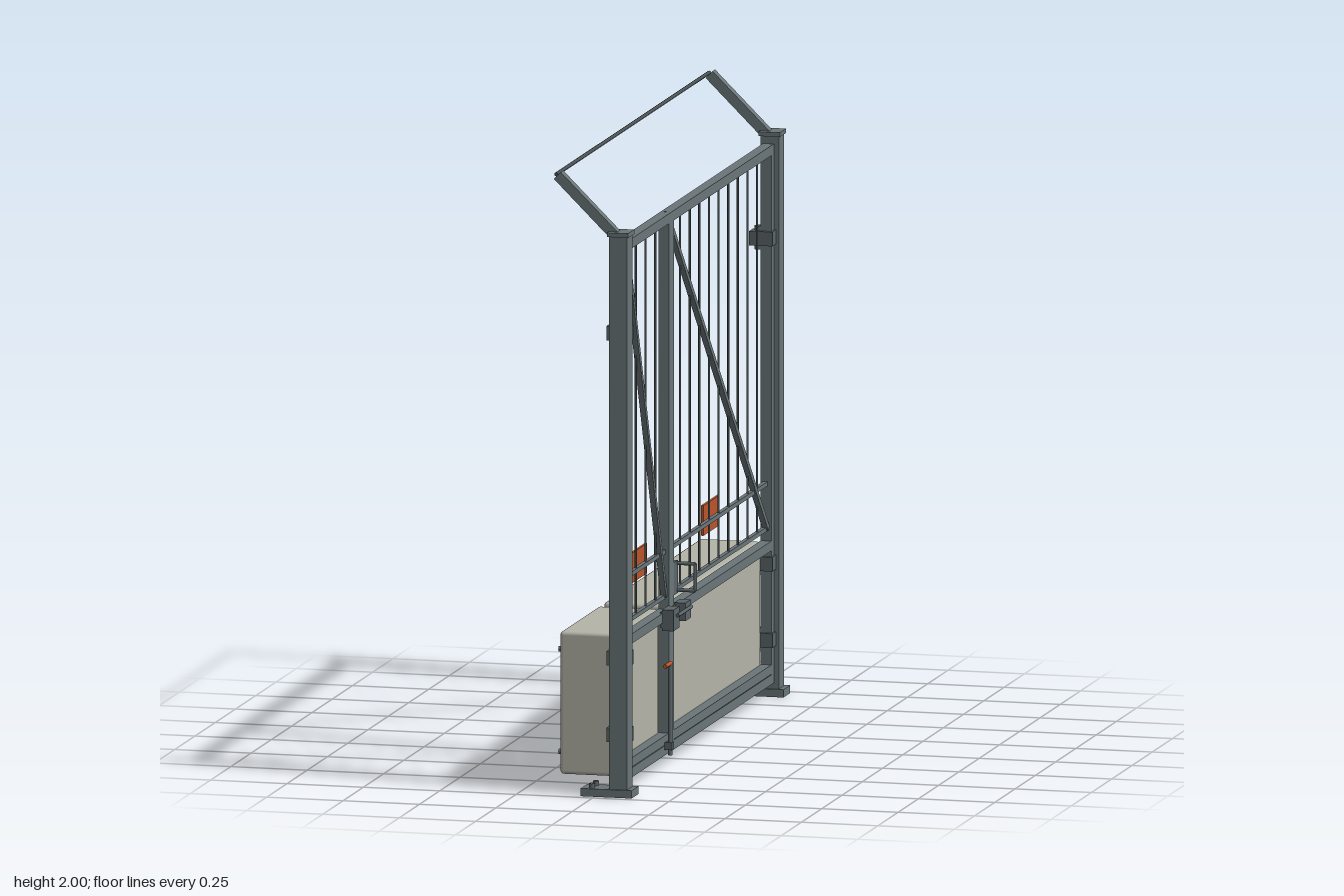
import * as THREE from 'three';
import { RoundedBoxGeometry } from 'three/addons/geometries/RoundedBoxGeometry.js';

const mat = (name, color) => {
  const m = new THREE.MeshStandardMaterial({ color });
  m.name = name;
  return m;
};

export function createModel() {
  const steel = mat('painted steel', 0x6b7679);
  const dark = mat('dark hardware', 0x5c666a);
  const wireMat = mat('wire', 0x4a5254);
  const beige = mat('cabinet beige', 0xb5b4a8);
  const orange = mat('warning orange', 0xb9562c);
  const model = new THREE.Group();
  model.name = 'doubleGate';

  const add = (parent, name, geo, m) => {
    const mesh = new THREE.Mesh(geo, m);
    mesh.name = name;
    parent.add(mesh);
    return mesh;
  };
  // box given by its min and max on each axis
  const box = (p, name, m, x0, x1, y0, y1, z0, z1) => {
    const b = add(p, name, new THREE.BoxGeometry(x1 - x0, y1 - y0, z1 - z0), m);
    b.position.set((x0 + x1) / 2, (y0 + y1) / 2, (z0 + z1) / 2);
    return b;
  };
  // round or square bar between two points
  const bar = (p, name, m, a, b, r, square = false) => {
    const A = new THREE.Vector3(...a), B = new THREE.Vector3(...b);
    const d = B.clone().sub(A), len = d.length();
    const geo = square ? new THREE.BoxGeometry(2 * r, len, 2 * r) : new THREE.CylinderGeometry(r, r, len, 10);
    const s = add(p, name, geo, m);
    s.position.copy(A).add(B).multiplyScalar(0.5);
    s.quaternion.setFromUnitVectors(new THREE.Vector3(0, 1, 0), d.normalize());
    return s;
  };

  // posts with foot plate, cap and slanted arm
  for (const s of [1, -1]) {
    const post = new THREE.Group();
    post.name = s > 0 ? 'frontPost' : 'rearPost';
    model.add(post);
    const c = s * 0.936;
    box(post, 'footPlate', steel, -0.045, 0.122, 0, 0.025, c - 0.042, c + 0.042);
    box(post, 'column', steel, 0.045, 0.105, 0.025, 1.8, c - 0.033, c + 0.033);
    box(post, 'cap', steel, 0.04, 0.11, 1.8, 1.814, c - 0.038, c + 0.038);
    bar(post, 'slantedArm', steel, [0.06, 1.8, c], [-0.128, 1.986, c], 0.016, true);
    for (const dz of [-0.024, 0.024]) {
      bar(post, 'anchorBolt', dark, [-0.012, 0.02, c + dz], [-0.012, 0.04, c + dz], 0.01);
    }
    // hinges
    for (const y of [1.478, 0.433, 0.187]) {
      box(post, 'hingeBlock', dark, 0.02, 0.06, y - 0.023, y + 0.023, s * 0.88 - 0.024, s * 0.88 + 0.024);
      bar(post, 'hingePin', dark, [0.045, y - 0.038, s * 0.882], [0.045, y + 0.038, s * 0.882], 0.014);
      box(post, 'hingeLeaf', dark, 0.055, 0.096, y - 0.023, y + 0.023, s * 0.88 - 0.024, s * 0.88 + 0.024);
    }
  }
  bar(model, 'topWire', wireMat, [-0.134, 1.988, -0.945], [-0.134, 1.988, 0.945], 0.006);

  // a leaf: hinge edge, meeting edge, cabinet span, wires, sign position
  const leaf = (name, hinge, meet, cab, wires, sign, brace) => {
    const g = new THREE.Group();
    g.name = name;
    model.add(g);
    const z0 = Math.min(hinge, meet), z1 = Math.max(hinge, meet), t = 0.03;
    const X = [0.055, 0.09];
    for (const a of [z0, z1 - t]) box(g, 'stile', steel, ...X, 0.045, 1.777, a, a + t);
    for (const [y0, y1] of [[0.045, 0.076], [0.078, 0.108], [0.475, 0.506], [1.745, 1.777]]) {
      box(g, 'rail', steel, ...X, y0, y1, z0 + t, z1 - t);
    }
    for (const y of [0.546, 0.69]) {
      box(g, 'thinRail', steel, 0.064, 0.078, y - 0.007, y + 0.007, z0 + t, z1 - t);
    }
    for (const z of wires) bar(g, 'wire', wireMat, [0.071, 0.546, z], [0.071, 1.75, z], 0.0035);
    bar(g, 'diagonalBrace', steel, [0.075, 1.72, brace[0]], [0.075, 0.548, brace[1]], 0.009, true);

    // closed cabinet behind the lower half, with corner bolts
    const cabinet = add(g, 'cabinet', new RoundedBoxGeometry(0.2, 0.459, cab[1] - cab[0], 3, 0.012), beige);
    cabinet.position.set(-0.044, 0.2755, (cab[0] + cab[1]) / 2);
    for (const z of [cab[0] + 0.04, cab[1] - 0.04]) for (const y of [0.112, 0.442]) {
      bar(g, 'cabinetBolt', dark, [-0.142, y, z], [-0.157, y, z], 0.009);
    }
    // sign plate
    box(g, 'signPlate', orange, 0.046, 0.054, 0.643, 0.74, sign - 0.1, sign + 0.1);
  };
  leaf('smallLeaf', 0.9, 0.366, [0.39, 0.862], [0.735, 0.613, 0.495], 0.63, [0.862, 0.4]);
  leaf('largeLeaf', -0.897, 0.364, [-0.865, 0.322],
    Array.from({ length: 9 }, (_, i) => 0.188 - i * 0.1187), -0.265, [0.325, -0.86]);

  // latch across the meeting stiles
  const latch = new THREE.Group();
  latch.name = 'latch';
  model.add(latch);
  box(latch, 'latchKeeper', dark, 0.088, 0.125, 0.45, 0.518, 0.4, 0.475);
  box(latch, 'latchCase', dark, 0.088, 0.125, 0.457, 0.515, 0.257, 0.325);
  box(latch, 'latchBackPlate', dark, 0.082, 0.092, 0.46, 0.51, 0.257, 0.475);
  bar(latch, 'latchBolt', dark, [0.13, 0.495, 0.27], [0.13, 0.495, 0.44], 0.006);

  // pull handle
  const pts = [[0.085, 0.636], [0.148, 0.636], [0.148, 0.55], [0.085, 0.55]];
  for (let i = 0; i < 3; i++) {
    bar(latch, 'pullHandle', dark, [...pts[i], 0.29], [...pts[i + 1], 0.29], 0.006);
  }
  box(latch, 'handleMount', dark, 0.075, 0.09, 0.54, 0.645, 0.284, 0.34);

  // drop bolt with coloured grip
  bar(latch, 'dropBolt', dark, [0.105, 0.045, 0.437], [0.105, 0.342, 0.437], 0.007);
  bar(latch, 'dropBoltGrip', orange, [0.105, 0.34, 0.43], [0.105, 0.34, 0.5], 0.007);
  for (const y of [0.075, 0.49]) {
    if (y < 0.4) box(latch, 'boltGuide', dark, 0.088, 0.114, y - 0.012, y + 0.012, 0.425, 0.449);
  }
  return model;
}
